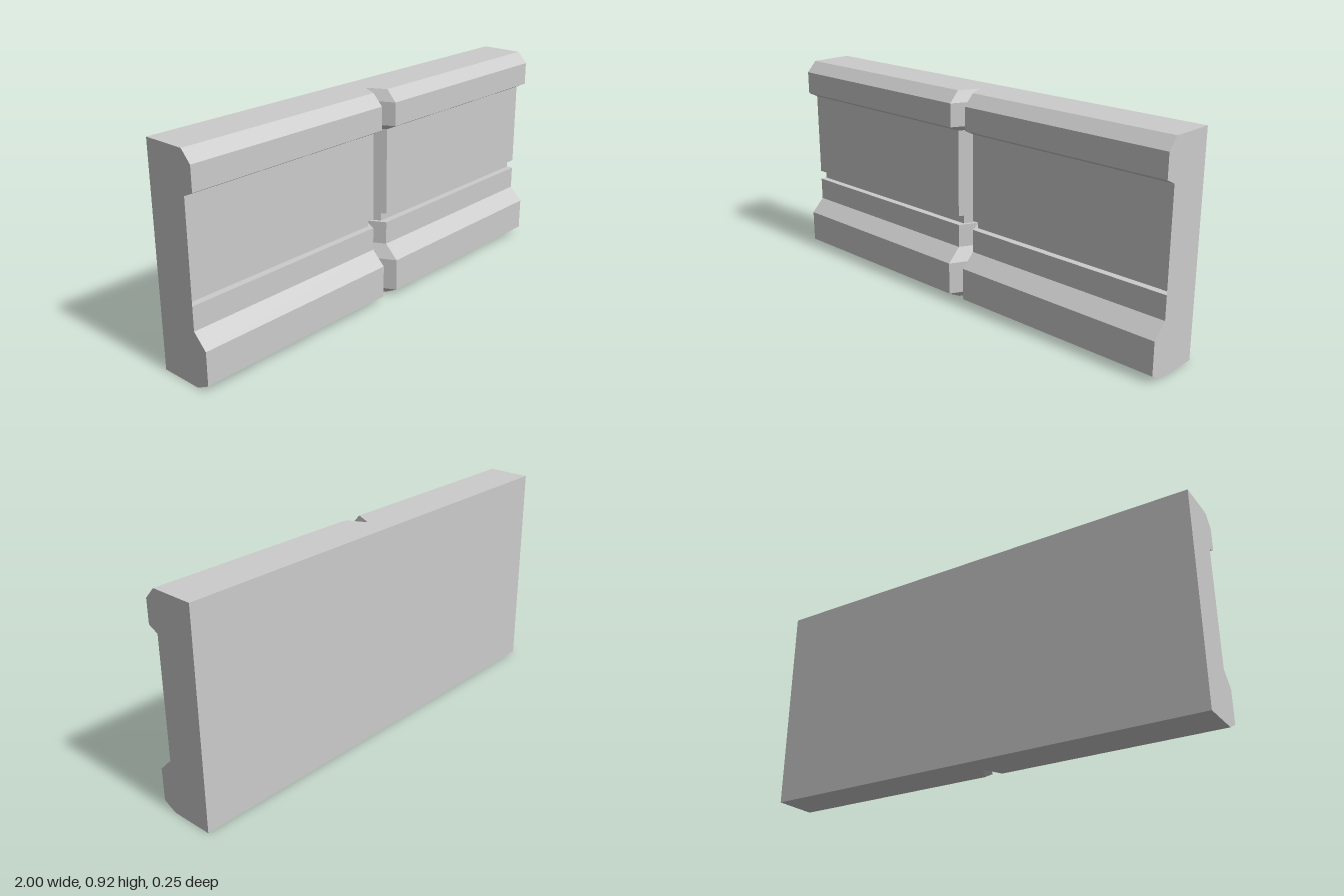
import * as THREE from 'three';

const BACK = -0.125, FACE = 0.065, GROOVE = 0.035;
const NOTCH_HALF = 0.042, NOTCH_DEPTH = 0.083;

// Side profile as [z, y], from the bottom back edge round the front to the top back edge
const lower = [[BACK, 0], [FACE, 0], [0.125, 0.03], [0.125, 0.17], [FACE, 0.23]];
const groove = [[FACE, 0.33], [GROOVE, 0.33], [GROOVE, 0.37], [FACE, 0.37]];
const upper = [[FACE, 0.745], [0.11, 0.767], [0.11, 0.867], [FACE, 0.915], [BACK, 0.915]];

function meshFrom(name, positions, material) {
  const geometry = new THREE.BufferGeometry();
  geometry.setAttribute('position', new THREE.Float32BufferAttribute(positions, 3));
  geometry.computeVertexNormals();
  const mesh = new THREE.Mesh(geometry, material);
  mesh.name = name;
  return mesh;
}

// Profile swept along x; the front is pushed back at the centre to make the V notch
function sweptBody() {
  const profile = [...lower, ...groove, ...upper];
  const stations = [[-1, 0], [-NOTCH_HALF, 0], [0, NOTCH_DEPTH], [NOTCH_HALF, 0], [1, 0]];
  const point = ([x, push], [z, y]) => [x, y, z === BACK ? z : z - push];
  const out = [];
  for (let s = 0; s < stations.length - 1; s++) {
    profile.forEach((p, i) => {
      const q = profile[(i + 1) % profile.length];
      const a = point(stations[s], p), b = point(stations[s + 1], p);
      const c = point(stations[s + 1], q), d = point(stations[s], q);
      out.push(...a, ...b, ...c, ...a, ...c, ...d);
    });
  }
  return out;
}

// Flat end that closes the groove
function endCap(side) {
  const points = [...lower, ...upper].map(([z, y]) => new THREE.Vector2(z, y));
  const out = [];
  for (const tri of THREE.ShapeUtils.triangulateShape(points, [])) {
    const order = side < 0 ? tri : [...tri].reverse();
    for (const i of order) out.push(side, points[i].y, points[i].x);
  }
  return out;
}

export function createModel() {
  const group = new THREE.Group();
  group.name = 'wallPanel';
  const material = new THREE.MeshStandardMaterial({ color: 0xcccccc, flatShading: true });
  group.add(meshFrom('panelBody', sweptBody(), material));
  group.add(meshFrom('leftEnd', endCap(1), material));
  group.add(meshFrom('rightEnd', endCap(-1), material));
  return group;
}
